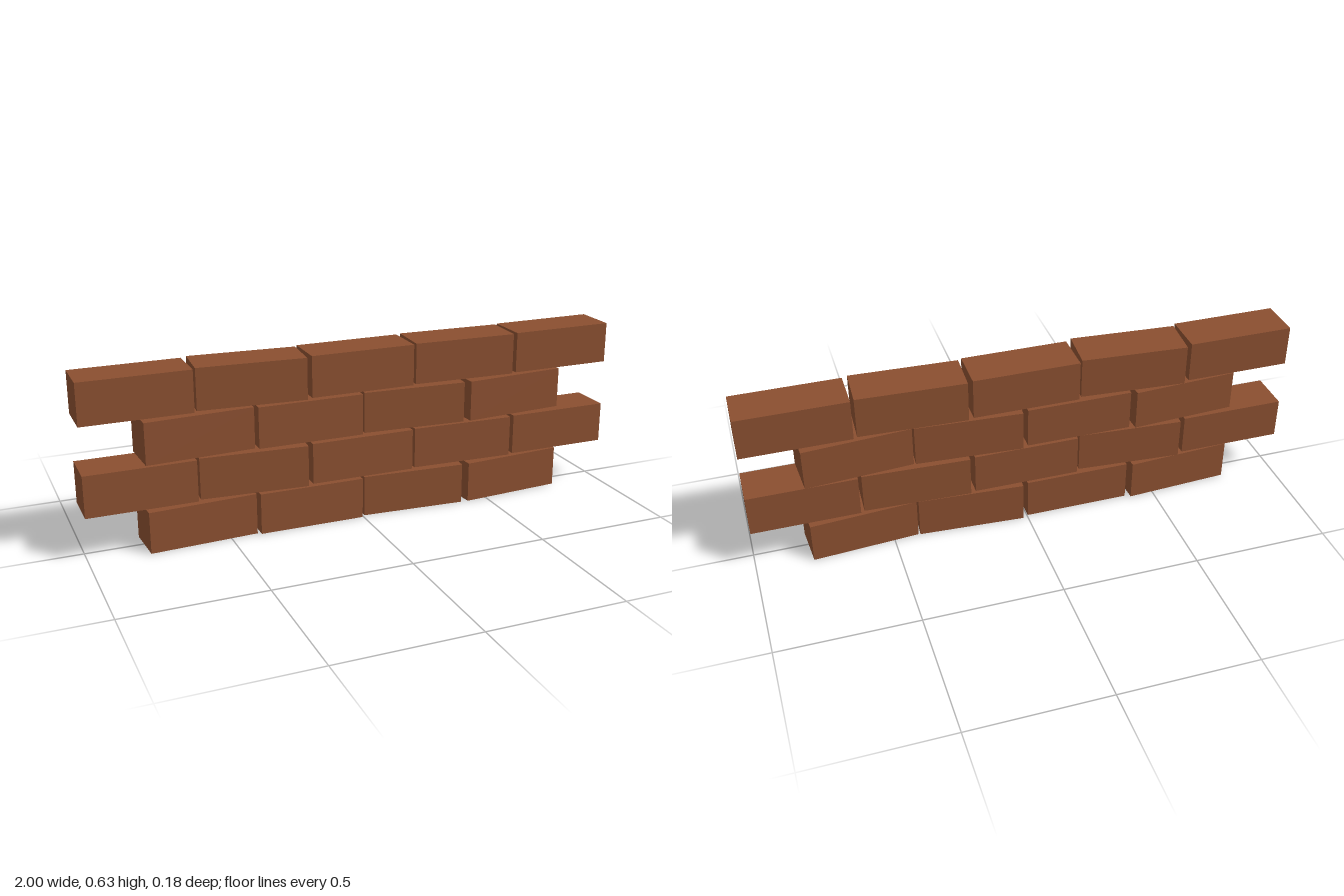
import * as THREE from 'three';

export function createModel() {
  const wall = new THREE.Group();
  wall.name = 'brickWall';

  const length = 0.387, height = 0.15, depth = 0.155;
  const spacing = 0.403, rise = 0.16;
  const brickShape = new THREE.BoxGeometry(length, height, depth);
  const clay = new THREE.MeshStandardMaterial({ color: 0x8a4f30, flatShading: true });

  // Two alternating courses: centre of the first brick and the twist of each brick
  const courses = [
    { name: 'shortCourse', start: -0.6, twists: [0.055, 0, -0.06, 0.07] },
    { name: 'longCourse', start: -0.806, twists: [0, -0.07, 0, -0.04, 0] },
  ];

  for (let row = 0; row < 4; row++) {
    const { name, start, twists } = courses[row % 2];
    const course = new THREE.Group();
    course.name = name;
    course.position.y = height / 2 + row * rise;
    twists.forEach((twist, i) => {
      const brick = new THREE.Mesh(brickShape, clay);
      brick.name = 'brick';
      brick.position.x = start + i * spacing;
      brick.rotation.y = twist;
      course.add(brick);
    });
    wall.add(course);
  }
  return wall;
}
